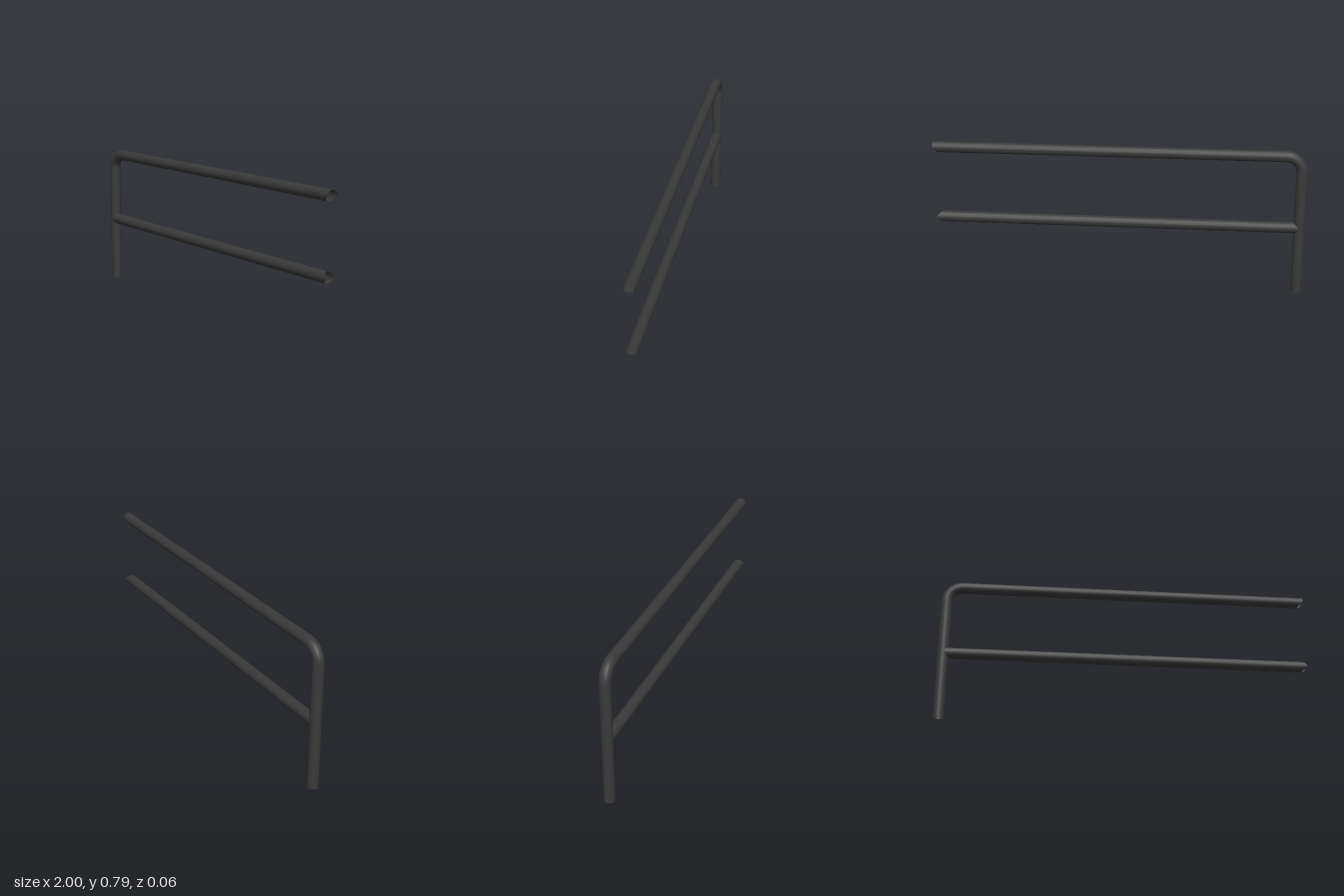
import * as THREE from 'three';

const R = 0.03;          // pipe radius
const SIDES = 16;
const BEND = 0.085;      // centreline radius of the elbow
const POST_X = -0.97;
const TOP_Y = 0.76;
const MID_Y = 0.366;

const steel = new THREE.MeshStandardMaterial({ color: 0x3a3a3a, side: THREE.DoubleSide });

function part(name, geometry, x, y) {
  const mesh = new THREE.Mesh(geometry, steel);
  mesh.name = name;
  mesh.position.set(x, y, 0);
  return mesh;
}

// Open pipe along x; startCut and endCut give how far each end is cut back at height y
function railPipe(x0, x1, startCut, endCut) {
  const g = new THREE.CylinderGeometry(R, R, 1, SIDES, 1, true).rotateZ(-Math.PI / 2);
  const p = g.attributes.position;
  for (let i = 0; i < p.count; i++) {
    const y = p.getY(i);
    p.setX(i, p.getX(i) < 0 ? x0 + startCut(y) : x1 - endCut(y));
  }
  return g;
}

export function createModel() {
  const railing = new THREE.Group();
  railing.name = 'railing';

  const square = () => 0;
  const saddle = (y) => Math.abs(y);          // coped to an upright of equal radius
  const lowerSaddle = (y) => Math.max(0, -y); // coped on the underside only

  // Upright post
  const postHeight = TOP_Y - BEND;
  railing.add(part('post',
    new THREE.CylinderGeometry(R, R, postHeight, SIDES, 1, true), POST_X, postHeight / 2));

  // Quarter bend from the post into the top rail
  const bend = new THREE.TorusGeometry(BEND, R, SIDES, 10, Math.PI / 2).rotateZ(Math.PI / 2);
  railing.add(part('elbow', bend, POST_X + BEND, postHeight));

  // Horizontal rails, cut to fit a neighbouring upright at the open end
  railing.add(part('topRail', railPipe(POST_X + BEND, 1, square, lowerSaddle), 0, TOP_Y));
  railing.add(part('middleRail', railPipe(POST_X, 1, saddle, saddle), 0, MID_Y));

  return railing;
}
